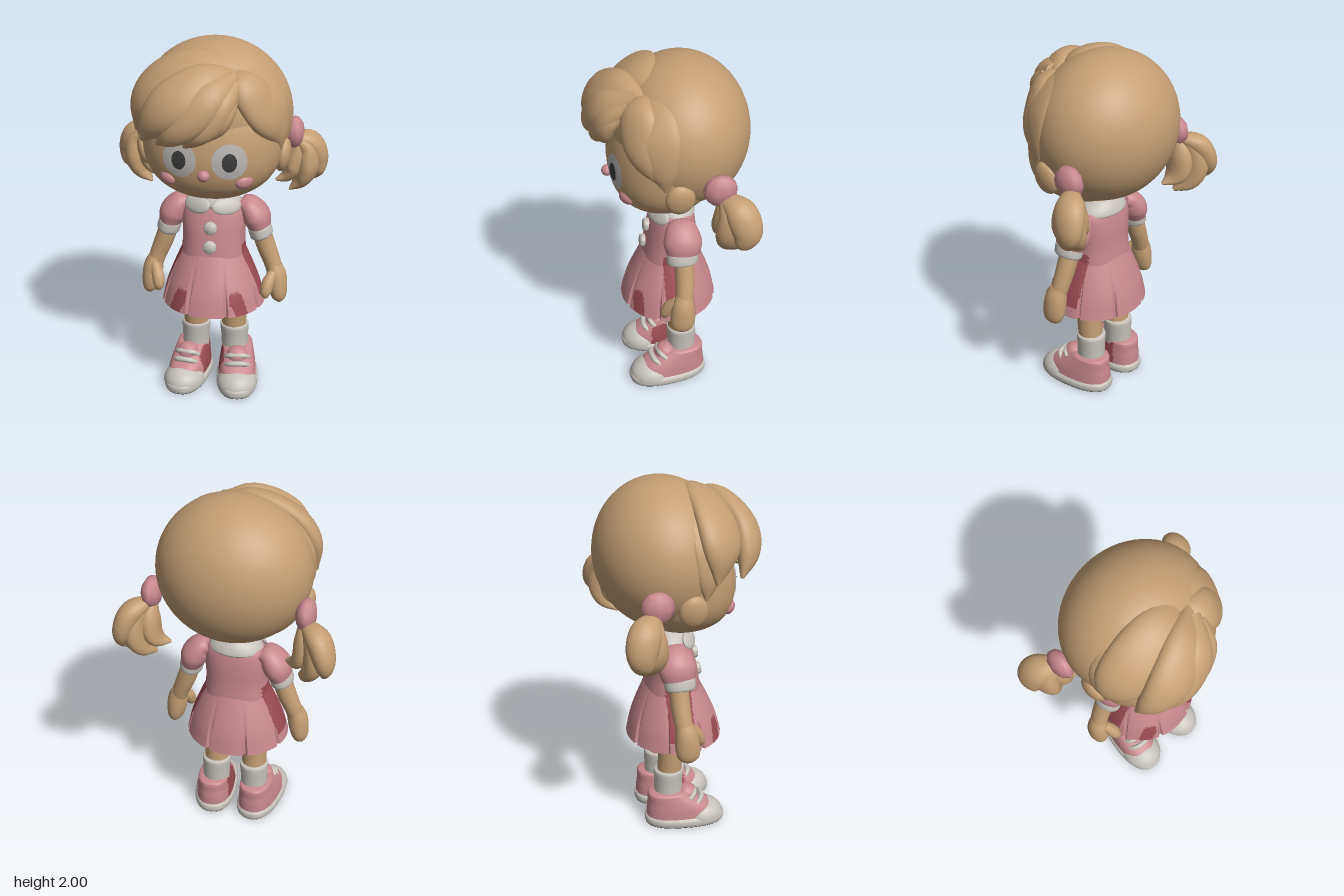
import * as THREE from 'three';
import { toCreasedNormals } from 'three/addons/utils/BufferGeometryUtils.js';

const V = (x, y, z) => new THREE.Vector3(x, y, z);
const colour = (name, hex, side = THREE.FrontSide) => {
  const m = new THREE.MeshStandardMaterial({ color: hex, side });
  m.name = name;
  return m;
};
const FRONT = () => V(0, 0, 1);
const fromHead = (p) => p.clone().sub(V(0, 1.6, -0.05));
const sgnPow = (a, e) => Math.sign(a) * Math.pow(Math.abs(a), e);

// Smooth sweep through rows of [x, y, z, halfWidth, halfDepth], with closed ends.
// flat keeps every section horizontal; power squares the section; mod ripples it.
function sweep(rows, { ref = FRONT, flat = false, power = 2, mod = () => 1, nu = 20, nv = 28, open = false } = {}) {
  const path = new THREE.CatmullRomCurve3(rows.map((r) => V(r[0], r[1], r[2])), false, 'catmullrom');
  const size = new THREE.CatmullRomCurve3(rows.map((r) => V(r[3], r[4], 0)), false, 'catmullrom');
  const rings = [];
  const ring = (u, k) => {
    const c = path.getPoint(u), s = size.getPoint(u);
    const t = flat ? V(0, 1, 0) : path.getTangent(u);
    const n = flat ? FRONT() : ref(c);
    n.addScaledVector(t, -n.dot(t)).normalize();
    const side = t.clone().cross(n);
    rings.push(Array.from({ length: nv }, (_, j) => {
      const a = (j / nv) * Math.PI * 2, f = k * mod(a, u);
      return c.clone()
        .addScaledVector(side, Math.max(s.x, 0) * f * sgnPow(Math.sin(a), 2 / power))
        .addScaledVector(n, Math.max(s.y, 0) * f * sgnPow(Math.cos(a), 2 / power));
    }));
  };
  if (!open) ring(0, 0);
  for (let i = 0; i <= nu; i++) ring(i / nu, 1);
  if (!open) ring(1, 0);
  const pos = [];
  const tri = (...ps) => ps.forEach((p) => pos.push(p.x, p.y, p.z));
  for (let i = 0; i + 1 < rings.length; i++) {
    for (let j = 0; j < nv; j++) {
      const k = (j + 1) % nv, a = rings[i], b = rings[i + 1];
      if (open || i > 0) tri(a[j], a[k], b[j]);
      if (open || i + 2 < rings.length) tri(a[k], b[k], b[j]);
    }
  }
  const g = new THREE.BufferGeometry();
  g.setAttribute('position', new THREE.Float32BufferAttribute(pos, 3));
  return toCreasedNormals(g, 0.85);
}

// Gives faces whose centre passes the test the second material
function splitFaces(geo, test) {
  const p = geo.attributes.position;
  const mid = (i, get) => (p[get](i) + p[get](i + 1) + p[get](i + 2)) / 3;
  let start = 0, current = -1;
  for (let i = 0; i <= p.count; i += 3) {
    const k = i < p.count ? Number(test(mid(i, 'getX'), mid(i, 'getY'), mid(i, 'getZ'))) : -1;
    if (k === current) continue;
    if (i > start) geo.addGroup(start, i - start, current);
    start = i;
    current = k;
  }
  return geo;
}

export function createModel() {
  const root = new THREE.Group();
  root.name = 'girlDoll';
  const tan = colour('tan', 0xc49e74);
  const pink = colour('pink', 0xc7888e);
  const white = colour('offWhite', 0xc6c1ba);
  const eyeGrey = colour('eyeGrey', 0xbcb8b4);
  const dark = colour('charcoal', 0x3b3b3b);
  const black = colour('soleBlack', 0x232323);
  const red = colour('liningRed', 0x9c4c54, THREE.DoubleSide);

  const add = (geo, mat, name, parent = root) => {
    const m = new THREE.Mesh(geo, mat);
    m.name = name;
    parent.add(m);
    return m;
  };
  const ball = (x, y, z, rx, ry, rz, mat, name, parent = root, seg = 32) => {
    const m = add(new THREE.SphereGeometry(1, seg, Math.round(seg * 0.7)), mat, name, parent);
    m.position.set(x, y, z);
    m.scale.set(rx, ry, rz);
    return m;
  };
  const mirror = (rows, s) => rows.map(([x, ...rest]) => [x * s, ...rest]);

  // Head
  const face = add(sweep([
    [0, 1.178, 0.03, 0.08, 0.08], [0, 1.19, 0.03, 0.16, 0.14], [0, 1.225, 0.03, 0.235, 0.2],
    [0, 1.28, 0.03, 0.305, 0.25], [0, 1.36, 0.025, 0.355, 0.283], [0, 1.46, 0.02, 0.375, 0.295],
    [0, 1.58, 0.01, 0.375, 0.285], [0, 1.7, 0, 0.35, 0.25],
  ], { flat: true, power: 2.15, nu: 32, nv: 64 }), tan, 'face');
  ball(0, 1.6, -0.073, 0.413, 0.4, 0.36, tan, 'hairCap', root, 56);
  ball(0, 1.375, 0.318, 0.032, 0.03, 0.031, pink, 'nose');

  // Thin patches laid onto the face
  const ray = new THREE.Raycaster();
  const patch = (x, y, rx, ry, lift, mat, name) => {
    const g = new THREE.RingGeometry(0.0001, 1, 36, 6).scale(rx, ry, 1).translate(x, y, 0);
    const p = g.attributes.position;
    for (let i = 0; i < p.count; i++) {
      ray.set(V(p.getX(i), p.getY(i), 2), V(0, 0, -1));
      const hit = ray.intersectObject(face)[0];
      p.setZ(i, (hit ? hit.point.z : 0.25) + lift);
    }
    g.computeVertexNormals();
    add(g, mat, name);
  };

  // Fringe, swept from a parting on the left
  const fringe = [
    [[0.14, 1.89, 0.06, 0.02, 0.02], [-0.03, 1.905, 0.13, 0.12, 0.055], [-0.22, 1.83, 0.16, 0.15, 0.065],
      [-0.345, 1.7, 0.15, 0.12, 0.06], [-0.39, 1.54, 0.12, 0.01, 0.01]],
    [[0.14, 1.86, 0.14, 0.03, 0.03], [0, 1.86, 0.25, 0.1, 0.06], [-0.15, 1.76, 0.33, 0.13, 0.07],
      [-0.26, 1.65, 0.32, 0.09, 0.06], [-0.33, 1.54, 0.27, 0.01, 0.01]],
    [[0.13, 1.86, 0.18, 0.04, 0.04], [0.04, 1.8, 0.31, 0.09, 0.06], [-0.06, 1.7, 0.365, 0.1, 0.06],
      [-0.16, 1.61, 0.365, 0.07, 0.05], [-0.24, 1.54, 0.32, 0.01, 0.01]],
    [[0.14, 1.83, 0.21, 0.04, 0.04], [0.1, 1.76, 0.31, 0.06, 0.05], [0.04, 1.67, 0.35, 0.07, 0.05],
      [-0.03, 1.6, 0.36, 0.05, 0.04], [-0.1, 1.53, 0.32, 0.01, 0.01]],
    [[0.14, 1.8, 0.23, 0.03, 0.03], [0.12, 1.73, 0.31, 0.045, 0.04], [0.08, 1.65, 0.335, 0.045, 0.04],
      [0.02, 1.57, 0.32, 0.01, 0.01]],
    [[0.12, 1.88, 0.1, 0.02, 0.02], [0.195, 1.82, 0.17, 0.1, 0.055], [0.27, 1.7, 0.18, 0.105, 0.05],
      [0.32, 1.6, 0.15, 0.075, 0.045], [0.36, 1.5, 0.1, 0.01, 0.01]],
  ];
  fringe.forEach((rows) => add(sweep(rows, { ref: fromHead }), tan, 'fringeLock'));

  // Neck
  add(sweep([[0, 1.08, -0.035, 0.075, 0.07], [0, 1.16, -0.035, 0.07, 0.068], [0, 1.25, -0.035, 0.075, 0.07]],
    { flat: true }), tan, 'neck');

  // Bodice and skirt, deeper red in the folds behind the arms
  const underArm = (x, y, z) => (Math.abs(x) > 0.13 && z > -0.09 && z < 0.05 && y > 0.57 && y < 0.87)
    || (Math.abs(x) > 0.12 && z > 0.165 && z < 0.215 && y < 0.64);
  add(splitFaces(sweep([
    [0, 0.8, -0.015, 0.18, 0.155], [0, 0.9, -0.017, 0.172, 0.142], [0, 1, -0.025, 0.176, 0.13],
    [0, 1.08, -0.033, 0.168, 0.112], [0, 1.125, -0.037, 0.13, 0.092], [0, 1.145, -0.037, 0.07, 0.07],
  ], { flat: true, power: 2.3, nv: 48 }), underArm), [pink, red], 'bodice');
  const skirtRows = [[0, 0.515, -0.005, 0.287, 0.265], [0, 0.62, -0.008, 0.262, 0.24],
    [0, 0.72, -0.012, 0.225, 0.202], [0, 0.83, -0.015, 0.178, 0.153]];
  const step = Math.PI / 4;
  const pleat = (a, u) => {
    const d = Math.abs(a % step - step / 2);
    return 1 - 0.1 * (1 - u) * Math.max(0, 1 - d / 0.045);
  };
  const pleats = { flat: true, mod: pleat, nu: 16, nv: 200, open: true };
  add(splitFaces(sweep(skirtRows, pleats), underArm), [pink, red], 'skirt');
  add(sweep(skirtRows.map(([x, y, z, w, d]) => [x, y, z, w * 0.96, d * 0.96]), pleats), red, 'skirtLining');

  // Collar and buttons
  add(sweep([[0, 1.085, -0.037, 0.145, 0.105], [0, 1.1, -0.037, 0.153, 0.116], [0, 1.135, -0.037, 0.128, 0.102],
    [0, 1.165, -0.037, 0.08, 0.078]], { flat: true, nv: 40 }), white, 'collarBand');
  for (const [y, z, name] of [[0.99, 0.116, 'upperButton'], [0.885, 0.136, 'lowerButton']]) {
    const disc = [[0, -0.02, 0, 0.036, 0.036], [0, 0.006, 0, 0.036, 0.036], [0, 0.015, 0, 0.03, 0.03]];
    const b = add(sweep(disc, { flat: true, nu: 6 }), white, name);
    b.position.set(0, y, z);
    b.rotation.x = Math.PI / 2 - 0.12;
  }

  for (const s of [1, -1]) {
    const side = s > 0 ? 'left' : 'right';
    const part = (rows, mat, name, opts) => add(sweep(mirror(rows, s), opts), mat, side + name);

    // Face details
    patch(0.13 * s, 1.452, 0.09, 0.096, 0.004, eyeGrey, side + 'EyeWhite');
    patch(0.132 * s, 1.45, 0.038, 0.05, 0.008, dark, side + 'Pupil');
    patch(0.13 * s, 1.592, 0.045, 0.006, 0.006, tan, side + 'Brow');
    ball(0.2 * s, 1.328, 0.245, 0.051, 0.039, 0.03, pink, side + 'Cheek').rotation.set(0.25, 0.6 * s, 0);
    const ear = ball(0.372 * s, 1.4, 0, 0.042, 0.092, 0.077, tan, side + 'Ear');
    ear.rotation.z = -0.15 * s;

    // Side hair and bunches
    part([[0.1, 1.9, 0.05, 0.02, 0.02], [0.23, 1.85, 0.085, 0.1, 0.03], [0.335, 1.72, 0.1, 0.11, 0.03],
      [0.365, 1.57, 0.085, 0.075, 0.03], [0.362, 1.45, 0.07, 0.01, 0.01]], tan, 'SideLock', { ref: fromHead });
    ball(0.412 * s, 1.46, -0.197, 0.056, 0.088, 0.09, pink, side + 'HairTie', root, 9);
    part([[0.42, 1.42, -0.22, 0.03, 0.04], [0.495, 1.375, -0.28, 0.062, 0.082], [0.535, 1.285, -0.31, 0.06, 0.082],
      [0.545, 1.21, -0.3, 0.035, 0.055], [0.525, 1.16, -0.29, 0.005, 0.01]], tan, 'BunchOuter');
    part([[0.42, 1.42, -0.22, 0.03, 0.04], [0.475, 1.35, -0.255, 0.06, 0.085], [0.485, 1.245, -0.265, 0.065, 0.105],
      [0.45, 1.16, -0.25, 0.045, 0.08], [0.39, 1.11, -0.22, 0.005, 0.01]], tan, 'BunchMiddle');
    part([[0.41, 1.41, -0.215, 0.035, 0.04], [0.42, 1.33, -0.235, 0.058, 0.07], [0.405, 1.24, -0.235, 0.05, 0.08],
      [0.37, 1.19, -0.22, 0.033, 0.055], [0.315, 1.17, -0.2, 0.005, 0.01]], tan, 'BunchInner');

    // Collar flap
    const flap = ball(0.08 * s, 1.107, 0.062, 0.084, 0.05, 0.02, white, side + 'CollarFlap');
    flap.rotation.set(-0.55, 0.45 * s, 0.25 * s);

    // Sleeve, cuff, arm and hand
    part([[0.145, 1.09, -0.045, 0.04, 0.06], [0.19, 1.07, -0.045, 0.064, 0.088], [0.231, 1.015, -0.045, 0.077, 0.104],
      [0.252, 0.955, -0.042, 0.062, 0.088]], pink, 'Sleeve');
    part([[0.246, 0.972, -0.037, 0.056, 0.075], [0.249, 0.96, -0.037, 0.064, 0.084],
      [0.261, 0.915, -0.037, 0.064, 0.084], [0.264, 0.903, -0.037, 0.055, 0.075]], white, 'Cuff');
    part([[0.255, 0.94, -0.045, 0.053, 0.053], [0.287, 0.84, -0.045, 0.053, 0.053],
      [0.322, 0.75, -0.04, 0.048, 0.05], [0.345, 0.68, -0.03, 0.045, 0.048]], tan, 'Arm');
    part([[0.338, 0.73, -0.035, 0.042, 0.047], [0.35, 0.67, -0.027, 0.056, 0.062], [0.362, 0.59, -0.022, 0.052, 0.068],
      [0.37, 0.54, -0.015, 0.038, 0.055], [0.373, 0.515, -0.012, 0.012, 0.02]], tan, 'Hand');
    part([[0.335, 0.7, 0.005, 0.025, 0.025], [0.312, 0.65, 0.04, 0.034, 0.034], [0.302, 0.6, 0.064, 0.03, 0.03],
      [0.305, 0.57, 0.072, 0.012, 0.012]], tan, 'Thumb');

    // Leg and sock
    part([[0.11, 0.28, -0.06, 0.068, 0.068], [0.11, 0.42, -0.05, 0.072, 0.07], [0.107, 0.58, -0.04, 0.08, 0.08],
      [0.1, 0.75, -0.03, 0.08, 0.08]], tan, 'Leg', { flat: true });
    part([[0.115, 0.14, -0.065, 0.076, 0.08], [0.113, 0.24, -0.065, 0.077, 0.08], [0.111, 0.32, -0.063, 0.082, 0.083],
      [0.111, 0.332, -0.063, 0.074, 0.075]], white, 'Sock', { flat: true });

    // Shoe, toes turned slightly out, deeper red on the inner side
    const shoe = new THREE.Group();
    shoe.name = side + 'Shoe';
    shoe.position.x = 0.138 * s;
    shoe.rotation.y = 0.13 * s;
    root.add(shoe);
    const boxy = { flat: true, power: 2.4, nv: 44 };
    add(sweep([[0, 0, 0.022, 0.112, 0.22], [0, 0.008, 0.022, 0.114, 0.222]], { ...boxy, nu: 2 }), black, 'outsole', shoe);
    add(sweep([[0, 0.004, 0.022, 0.115, 0.223], [0, 0.02, 0.022, 0.12, 0.227], [0, 0.042, 0.022, 0.118, 0.225],
      [0, 0.054, 0.022, 0.108, 0.214]], boxy), white, 'sole', shoe);
    const upper = sweep([[0, 0.03, 0.015, 0.11, 0.21], [0, 0.1, -0.005, 0.104, 0.187], [0, 0.14, -0.03, 0.097, 0.157],
      [0, 0.175, -0.06, 0.09, 0.127], [0, 0.193, -0.073, 0.086, 0.11], [0, 0.2, -0.073, 0.076, 0.098]], boxy);
    const inner = (x, y, z) => x * s < -0.075 && y < 0.19 && z > -0.11 && z < 0.07;
    add(splitFaces(upper, inner), [pink, red], 'shoeUpper', shoe);
    ball(0, 0.165, 0.035, 0.062, 0.058, 0.062, pink, 'tongue', shoe);

    // Domed toe cap, cut off level with the sole
    const dome = add(new THREE.SphereGeometry(1, 36, 14, 0, Math.PI * 2, 0, Math.PI / 2), white, 'toeCap', shoe);
    dome.position.set(0, 0.035, 0.116);
    dome.scale.set(0.115, 0.09, 0.128);
    for (const [y, z] of [[0.155, 0.12], [0.186, 0.08]]) {
      add(sweep([[-0.068, y - 0.026, z - 0.035, 0.012, 0.012], [-0.036, y - 0.002, z - 0.006, 0.015, 0.015],
        [0.036, y - 0.002, z - 0.006, 0.015, 0.015], [0.068, y - 0.026, z - 0.035, 0.012, 0.012]],
      { nu: 14, nv: 12 }), white, 'lace', shoe);
    }
  }
  return root;
}
